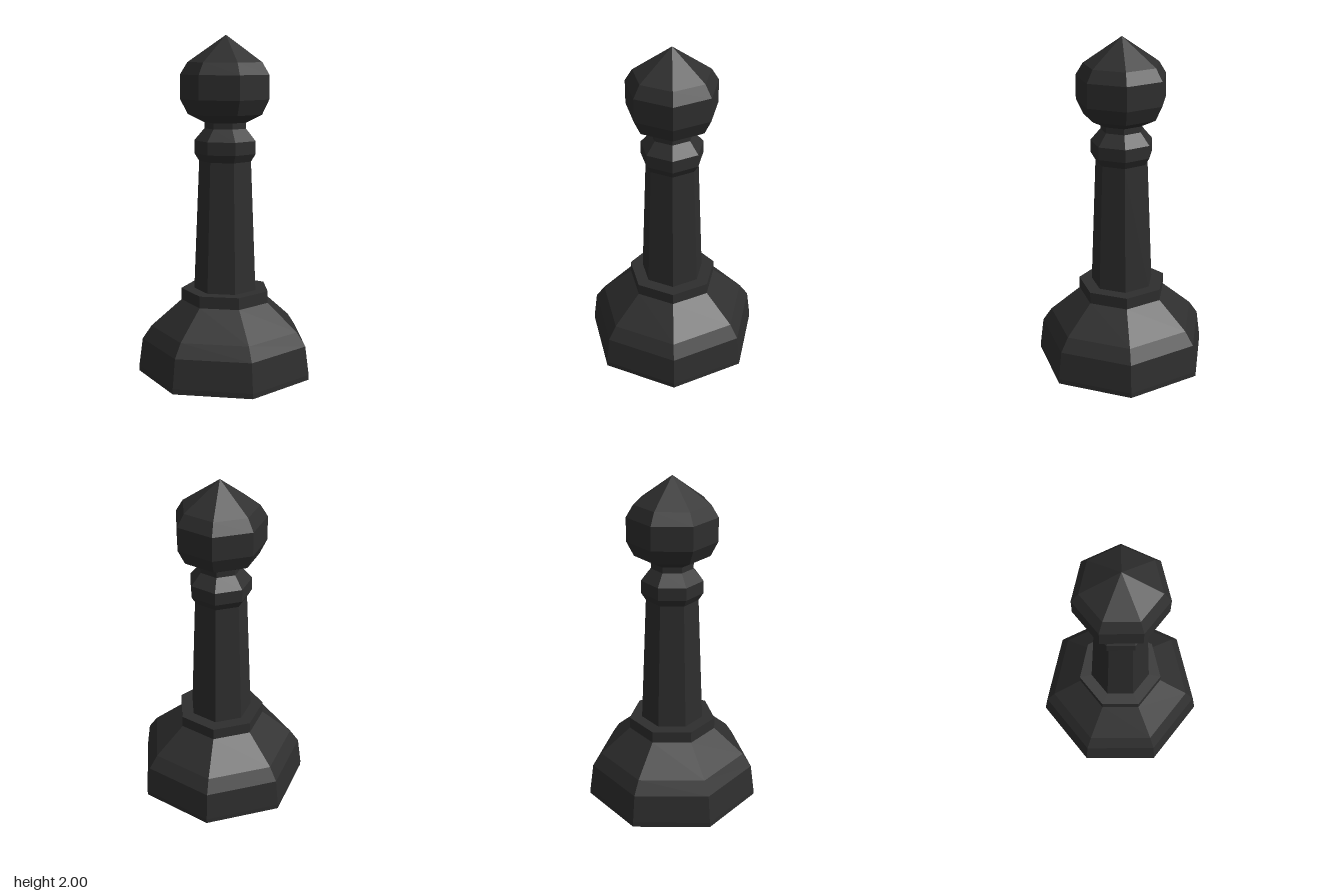
import * as THREE from 'three';

const SIDES = 7;

export function createModel() {
  const group = new THREE.Group();
  group.name = 'chessPawn';
  const material = new THREE.MeshStandardMaterial({ color: 0x2e2e2e, flatShading: true });

  // Each part is a seven-sided turned profile of [radius, height], one corner pointing to -x
  const turn = (name, profile) => {
    const points = profile.map(([r, y]) => new THREE.Vector2(r, y));
    const mesh = new THREE.Mesh(new THREE.LatheGeometry(points, SIDES, -Math.PI / 2), material);
    mesh.name = name;
    mesh.position.x = 0.025; // centres the odd-sided outline
    group.add(mesh);
  };

  // Bell-shaped foot with a raised step
  turn('base', [
    [0, 0], [0.525, 0], [0.525, 0.03], [0.502, 0.2], [0.448, 0.28],
    [0.266, 0.44], [0.266, 0.51], [0, 0.51],
  ]);

  // Tapered column
  turn('shaft', [[0.189, 0.51], [0.157, 1.275]]);

  // Ring and narrow neck under the head
  turn('collar', [
    [0.157, 1.275], [0.185, 1.32], [0.185, 1.395], [0.126, 1.465], [0.126, 1.5],
  ]);

  // Faceted ball rising to a point
  turn('head', [
    [0.126, 1.5], [0.223, 1.548], [0.266, 1.635], [0.266, 1.775], [0.223, 1.845], [0, 2],
  ]);

  return group;
}
